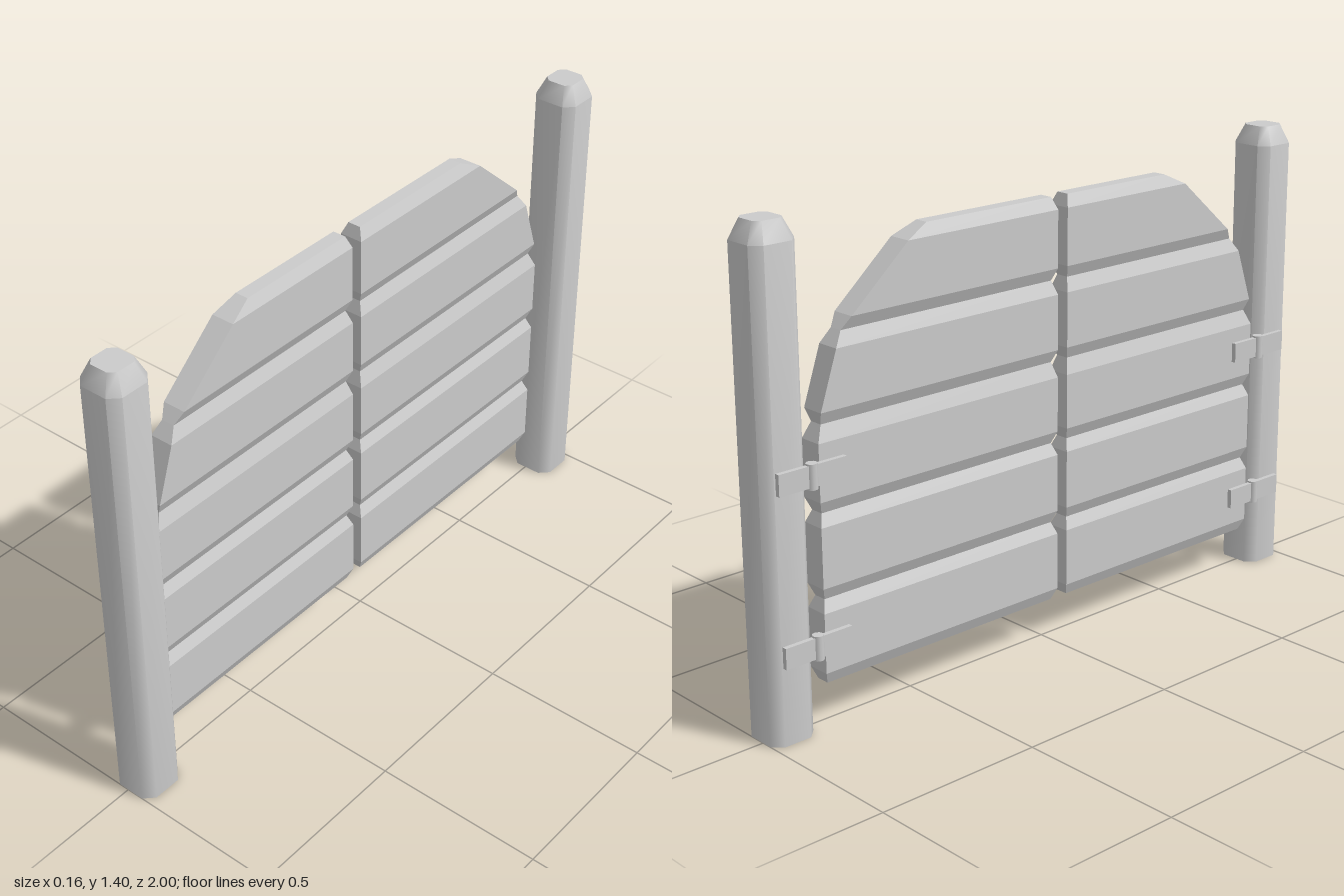
import * as THREE from 'three';
import { toCreasedNormals } from 'three/addons/utils/BufferGeometryUtils.js';

const material = new THREE.MeshStandardMaterial({ color: 0xcccccc });
const openMaterial = new THREE.MeshStandardMaterial({ color: 0xcccccc, side: THREE.DoubleSide });

// Skin through rings { y, pts: [[x, z], ...] }, points counter-clockwise from above
function loft(rings, capBottom) {
  const pos = [];
  const n = rings[0].pts.length;
  const put = (r, i) => pos.push(r.pts[i % n][0], r.y, r.pts[i % n][1]);
  for (let k = 0; k < rings.length - 1; k++) {
    const lo = rings[k], hi = rings[k + 1];
    for (let i = 0; i < n; i++) {
      put(lo, i); put(lo, i + 1); put(hi, i + 1);
      put(lo, i); put(hi, i + 1); put(hi, i);
    }
  }
  const top = rings[rings.length - 1], bottom = rings[0];
  for (let i = 1; i < n - 1; i++) {
    put(top, 0); put(top, i); put(top, i + 1);
    if (capBottom) { put(bottom, 0); put(bottom, i + 1); put(bottom, i); }
  }
  const g = new THREE.BufferGeometry();
  g.setAttribute('position', new THREE.Float32BufferAttribute(pos, 3));
  g.computeVertexNormals();
  return g;
}

function addMesh(parent, name, geometry, x = 0, y = 0, z = 0, mat = material) {
  const mesh = new THREE.Mesh(geometry, mat);
  mesh.name = name;
  mesh.position.set(x, y, z);
  parent.add(mesh);
  return mesh;
}

// Square post with cut corners, tapered top and open foot
function postGeometry() {
  const octagon = (y, h, c) => ({
    y, pts: [[h, c], [h, -c], [c, -h], [-c, -h], [-h, -c], [-h, c], [-c, h], [c, h]],
  });
  return toCreasedNormals(loft([
    octagon(0, 0.07, 0.042), octagon(1.345, 0.07, 0.042), octagon(1.4, 0.045, 0.027),
  ], false), 0.85);
}

// Five bevelled planks; outer edge given as [y, z] for each bevel line
const outerEdge = [
  [0.13, 0.81], [0.165, 0.823], [0.335, 0.823],
  [0.37, 0.81], [0.405, 0.823], [0.575, 0.823],
  [0.61, 0.81], [0.645, 0.823], [0.805, 0.823],
  [0.85, 0.803], [0.885, 0.812], [1.045, 0.757],
  [1.085, 0.73], [1.12, 0.705], [1.285, 0.515],
  [1.32, 0.442],
];

function doorGeometry(side, inner, offset) {
  const rings = outerEdge.map(([y, z], i) => {
    const joint = i % 3 === 0;
    const h = joint ? 0.02 : 0.035;
    const a = side * (z + offset);
    const b = inner + (joint ? side * 0.013 : 0);
    const zMax = Math.max(a, b), zMin = Math.min(a, b);
    return { y, pts: [[h, zMax], [h, zMin], [-h, zMin], [-h, zMax]] };
  });
  return loft(rings, true);
}

// Hinge: two flat leaves and an upright pin
function makeHinge() {
  const hinge = new THREE.Group();
  hinge.name = 'hinge';
  for (const s of [-1, 1]) {
    addMesh(hinge, 'hingeLeaf', new THREE.BoxGeometry(0.014, 0.06, 0.108), 0, 0, s * 0.054);
  }
  addMesh(hinge, 'hingePin', new THREE.CylinderGeometry(0.016, 0.016, 0.07, 10));
  return hinge;
}

export function createModel() {
  const model = new THREE.Group();
  model.name = 'swingGate';

  const post = postGeometry();
  for (const side of [1, -1]) {
    addMesh(model, side > 0 ? 'frontPost' : 'backPost', post, 0.01, 0, side * 0.93, openMaterial);
    for (const y of [0.255, 0.73]) {
      const hinge = makeHinge();
      hinge.position.set(-0.068, y, side > 0 ? 0.848 : -0.86);
      model.add(hinge);
    }
  }

  // The back door is slightly wider than the front one
  addMesh(model, 'frontDoor', doorGeometry(1, 0.044, 0), -0.025);
  addMesh(model, 'backDoor', doorGeometry(-1, 0.008, 0.007), -0.025);

  return model;
}
